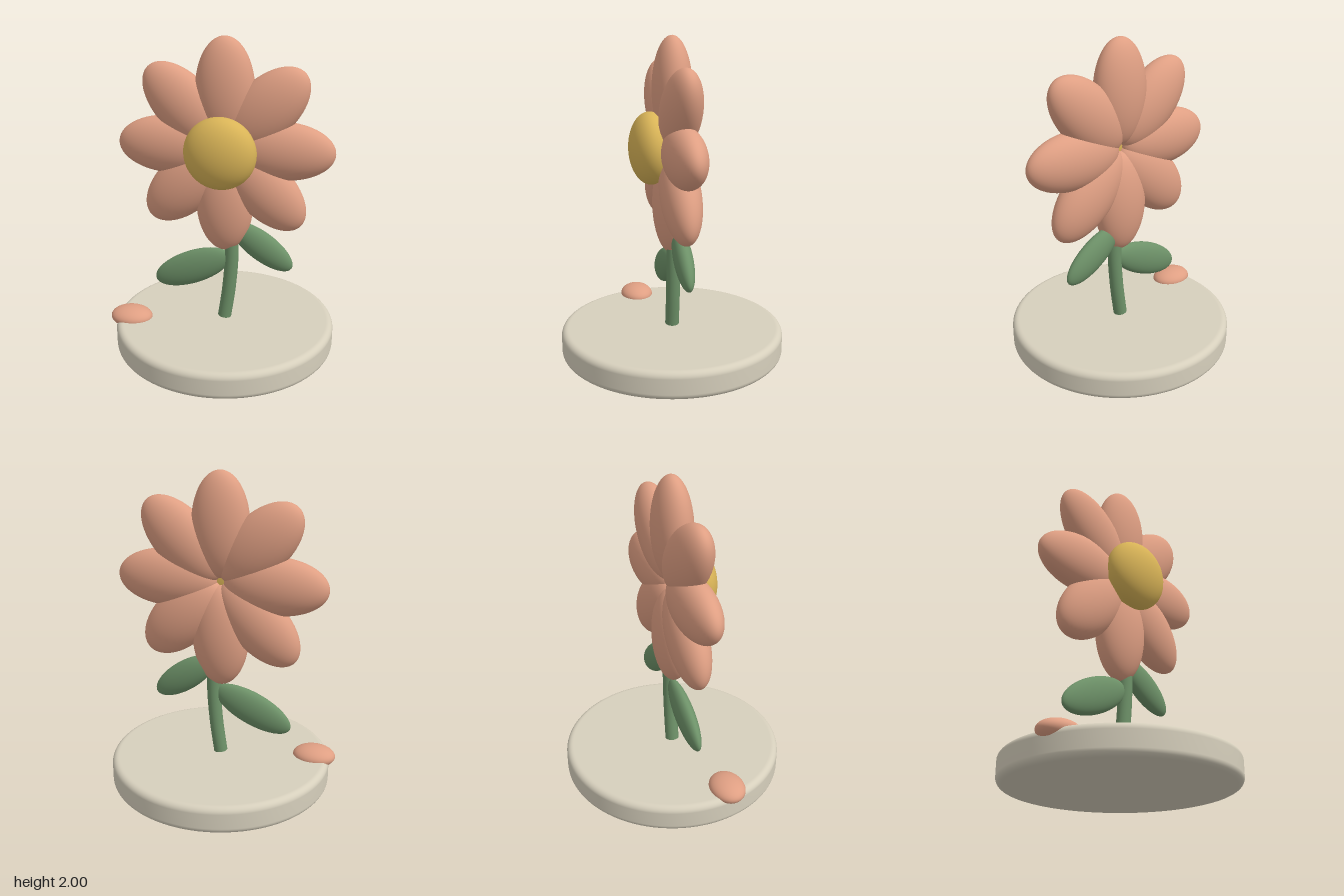
import * as THREE from 'three';

const mat = (name, color) => {
  const m = new THREE.MeshStandardMaterial({ color });
  m.name = name;
  return m;
};

export function createModel() {
  const model = new THREE.Group();
  model.name = 'flower';
  const petalPink = mat('petalPink', 0xdf9f83);
  const heartYellow = mat('heartYellow', 0xd9b457);
  const leafGreen = mat('leafGreen', 0x6d9168);
  const stoneCream = mat('stoneCream', 0xd6cfbc);
  const cx = 0.008; // axis of the base and the bloom

  const ball = new THREE.SphereGeometry(1, 48, 32);
  const ellipsoid = (name, material, radii, position, parent = model) => {
    const m = new THREE.Mesh(ball, material);
    m.name = name;
    m.scale.set(...radii);
    m.position.set(...position);
    parent.add(m);
    return m;
  };

  // Round base with softened rims
  const R = 0.706, H = 0.175, r = 0.04;
  const profile = [new THREE.Vector2(0, 0), new THREE.Vector2(R - r - 0.005, 0)];
  const corner = (y, start) => {
    for (let i = 0; i <= 8; i++) {
      const a = start + (i / 8) * Math.PI / 2;
      profile.push(new THREE.Vector2(R - r + r * Math.cos(a), y + r * Math.sin(a)));
    }
  };
  corner(r, -Math.PI / 2);
  corner(H - r, 0);
  profile.push(new THREE.Vector2(R - r - 0.005, H), new THREE.Vector2(0, H));
  const base = new THREE.Mesh(new THREE.LatheGeometry(profile, 96), stoneCream);
  base.name = 'base';
  base.position.x = cx;
  model.add(base);

  // Bent stem, ending inside the lowest petal
  const path = new THREE.CatmullRomCurve3([
    new THREE.Vector3(cx, 0.182, 0),
    new THREE.Vector3(0.038, 0.4, 0),
    new THREE.Vector3(0.054, 0.66, 0),
    new THREE.Vector3(0.03, 1.05, 0),
  ]);
  const stem = new THREE.Mesh(new THREE.TubeGeometry(path, 32, 0.044, 24), leafGreen);
  stem.name = 'stem';
  model.add(stem);
  const foot = new THREE.Mesh(new THREE.CircleGeometry(0.044, 24), leafGreen);
  foot.name = 'stemFoot';
  foot.position.copy(path.getPoint(0));
  foot.lookAt(foot.position.clone().sub(path.getTangent(0)));
  model.add(foot);

  // Leaves
  ellipsoid('rightLeaf', leafGreen, [0.27, 0.11, 0.056], [-0.205, 0.507, 0.002])
    .rotation.z = THREE.MathUtils.degToRad(24);
  ellipsoid('leftLeaf', leafGreen, [0.235, 0.095, 0.058], [0.243, 0.685, -0.02])
    .rotation.z = THREE.MathUtils.degToRad(-35);

  // Bloom: eight petals around a domed heart
  const bloom = new THREE.Group();
  bloom.name = 'bloom';
  bloom.position.set(cx, 1.328, 0);
  model.add(bloom);
  for (let i = 0; i < 8; i++) {
    const a = (i / 8) * Math.PI * 2;
    ellipsoid('petal', petalPink, [0.181, 0.325, 0.121],
      [-Math.sin(a) * 0.348, Math.cos(a) * 0.348, 0], bloom).rotation.z = a;
  }
  ellipsoid('heart', heartYellow, [0.222, 0.222, 0.131], [0, 0, 0.136], bloom);

  // Fallen petal on the rim of the base
  ellipsoid('fallenPetal', petalPink, [0.137, 0.065, 0.109], [-0.587, 0.175, 0.136]);

  return model;
}
